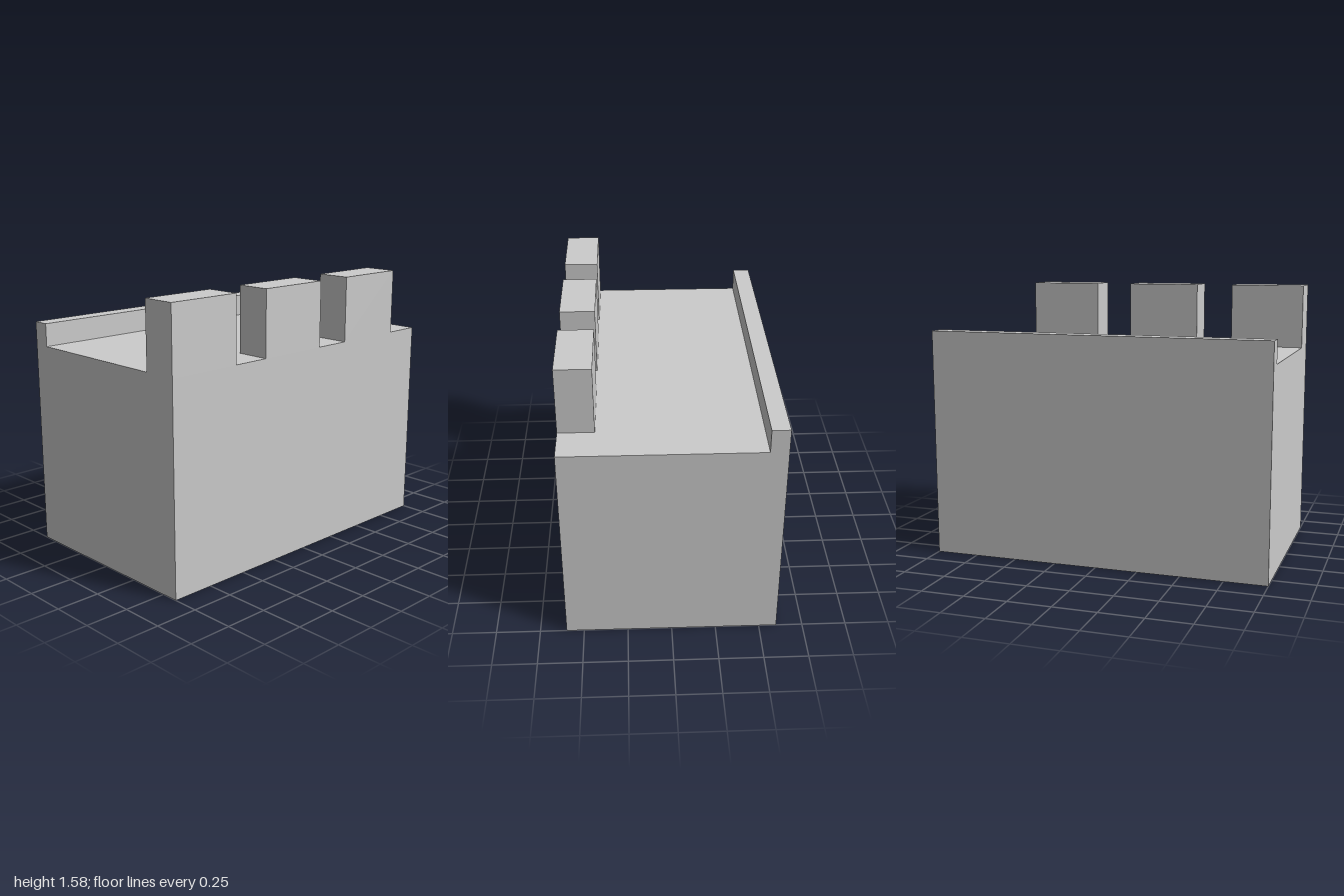
import * as THREE from 'three';

export function createModel() {
  const group = new THREE.Group();
  const material = new THREE.MeshStandardMaterial({ color: 0xcccccc, flatShading: true });

  // Box given by its minimum corner and its size
  function addBox(name, [x, y, z], [w, h, d]) {
    const mesh = new THREE.Mesh(new THREE.BoxGeometry(w, h, d), material);
    mesh.name = name;
    mesh.position.set(x + w / 2, y + h / 2, z + d / 2);
    group.add(mesh);
  }

  const wallTop = 1.2;

  // Solid wall with a flat walkway on top
  addBox('wallBody', [-1, 0, -0.6], [2, wallTop, 1.2]);

  // Low parapet along the back edge
  addBox('backParapet', [-1, wallTop, -0.6], [2, 0.133, 0.1]);

  // Tall merlons along the front edge, each followed by a gap
  const pitch = 2 / 3;
  for (let i = 0; i < 3; i++) {
    addBox(`merlon${i + 1}`, [-1 + i * pitch, wallTop, 0.4], [0.443, 0.38, 0.2]);
  }

  return group;
}
